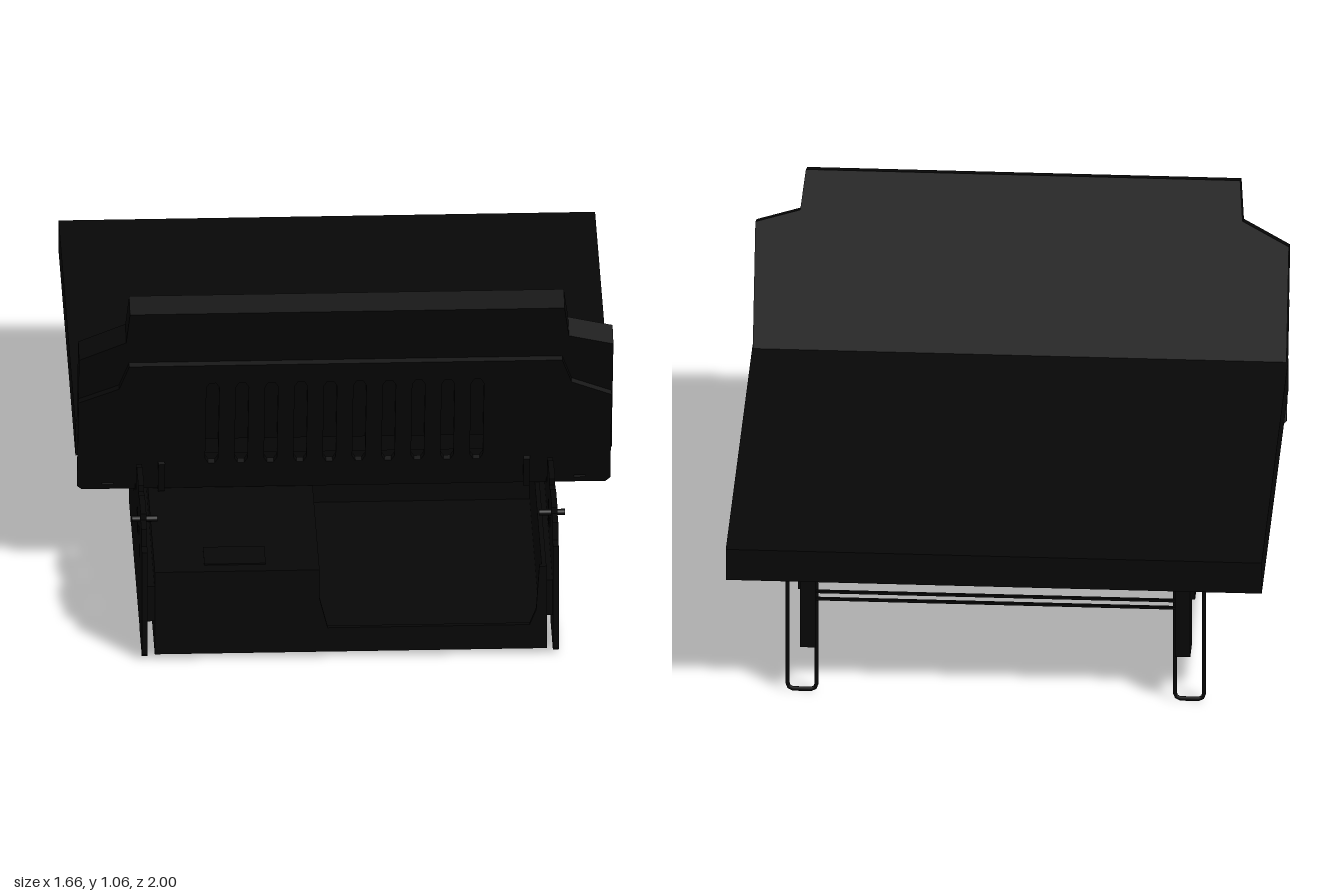
import * as THREE from 'three';

export function createModel() {
  const root = new THREE.Group();
  root.name = 'foldOutBed';
  const black = new THREE.MeshStandardMaterial({ color: 0x070707 });
  black.name = 'black';

  const add = (name, geometry, parent = root) => {
    const mesh = new THREE.Mesh(geometry, black);
    mesh.name = name;
    parent.add(mesh);
    return mesh;
  };
  // Box given by its limits on each axis
  const box = (name, x0, x1, y0, y1, z0, z1, parent = root) => {
    const mesh = add(name, new THREE.BoxGeometry(x1 - x0, y1 - y0, z1 - z0), parent);
    mesh.position.set((x0 + x1) / 2, (y0 + y1) / 2, (z0 + z1) / 2);
    return mesh;
  };
  const shapeOf = (points, holes = []) => {
    const shape = new THREE.Shape(points.map(p => new THREE.Vector2(...p)));
    for (const h of holes) shape.holes.push(new THREE.Path(h.map(p => new THREE.Vector2(...p))));
    return shape;
  };
  const extrude = (shape, depth) =>
    new THREE.ExtrudeGeometry(shape, { depth, bevelEnabled: false, curveSegments: 6 });
  const rect = (x0, x1, y0, y1) => [[x0, y0], [x1, y0], [x1, y1], [x0, y1]];

  // Platform: top board with a lip around its underside
  const platform = new THREE.Group();
  platform.name = 'platform';
  root.add(platform);
  box('platformTop', -0.83, 0.83, 0.45, 0.535, -1, 0.43, platform);
  for (const s of [-1, 1]) {
    box('platformSideLip', s * 0.805 - 0.025, s * 0.805 + 0.025, 0.43, 0.45, -1, 0.43, platform);
  }
  for (const z of [-1, 0.38]) box('platformEndLip', -0.78, 0.78, 0.43, 0.45, z, z + 0.05, platform);

  // Frame and curved slats below the platform
  for (const s of [-1, 1]) {
    box('frameRail', s * 0.61 - 0.015, s * 0.61 + 0.015, 0.37, 0.45, -0.82, 0.4, platform);
  }
  for (const z of [-0.82, -0.12, 0.36]) box('frameCrossRail', -0.6, 0.6, 0.375, 0.45, z, z + 0.03, platform);
  const slat = new THREE.Shape();
  slat.moveTo(-0.14, -0.02);
  slat.quadraticCurveTo(0, 0.03, 0.14, -0.02);
  slat.lineTo(0.14, 0.03);
  slat.quadraticCurveTo(0, 0.08, -0.14, 0.03);
  for (let i = 0; i < 9; i++) {
    for (const x of [-0.38, 0, 0.38]) {
      const mesh = add('platformSlat', extrude(slat, 0.012), platform);
      mesh.rotation.x = Math.PI / 2;
      mesh.position.set(x, 0.45, -0.7 + i * 0.115);
    }
  }

  // Leaning backrest with stepped wings
  const backrest = new THREE.Group();
  backrest.name = 'backrest';
  backrest.position.set(0, 0.53, 0.4);
  backrest.rotation.x = 0.361;
  root.add(backrest);
  add('backrestCushion', extrude(shapeOf([
    [-0.825, 0], [0.828, 0], [0.828, 0.4], [0.69, 0.44], [0.675, 0.566],
    [-0.67, 0.566], [-0.68, 0.44], [-0.825, 0.364]]), 0.08), backrest);

  // Slotted support sheet behind the cushion, reaching below its lower edge
  const slots = [rect(-0.748, -0.712, -0.18, -0.172), rect(0.712, 0.748, -0.18, -0.172)];
  for (let i = 0; i < 10; i++) {
    const x = -0.41 + i * 0.091;
    slots.push([[x - 0.02, -0.07], [x - 0.01, -0.09], [x + 0.01, -0.09], [x + 0.02, -0.07],
      [x + 0.02, 0.25], [x + 0.01, 0.27], [x - 0.01, 0.27], [x - 0.02, 0.25]]);
  }
  add('backrestSheet', extrude(shapeOf([
    [-0.81, -0.2], [0.81, -0.2], [0.825, -0.185], [0.825, 0.19], [0.7, 0.25], [0.67, 0.35],
    [-0.67, 0.35], [-0.7, 0.25], [-0.825, 0.19], [-0.825, -0.185]], slots), 0.018), backrest)
    .position.z = 0.08;
  for (const s of [-1, 1]) {
    box('hingeArm', s * 0.565 - 0.01, s * 0.565 + 0.01, -0.2, -0.08, 0.098, 0.112, backrest);
  }

  // Upright side sheets of the base; profile runs along z and y
  const tri = z => [[z - 0.045, 0.3], [z - 0.01, 0.335], [z + 0.01, 0.335], [z + 0.045, 0.3]];
  const slit = y => rect(-0.065, -0.035, y, y + 0.012);
  const windows = [0.78, 0.6, 0.3, 0.155].map(z => rect(z - 0.012, z + 0.012, 0.245, 0.29));
  const sheet = shapeOf([
    [-0.09, 0.01], [0.05, 0.01], [0.06, 0.018], [0.78, 0.018], [0.79, 0.01], [0.99, 0.01], [1, 0.02],
    [1, 0.37], [0.955, 0.37], [0.955, 0.43], [0.89, 0.43], [0.89, 0.45], [0.76, 0.45], [0.76, 0.43],
    [0.69, 0.43], [0.69, 0.45], [0.56, 0.45], [0.56, 0.43], [0.5, 0.43], [0.48, 0.33], [0.43, 0.33],
    [0.42, 0.43], [-0.04, 0.43], [-0.06, 0.37], [-0.1, 0.37], [-0.1, 0.02],
  ], [tri(0.72), tri(0.6), tri(0.17), slit(0.13), slit(0.165), ...windows]);
  for (const x of [-0.645, 0.627]) {
    const mesh = add('baseSideSheet', extrude(sheet, 0.018));
    mesh.rotation.y = -Math.PI / 2;
    mesh.position.x = x + 0.018;
  }

  // Base: floor, tall cabinet at one end, open tray at the other
  box('baseFloor', -0.605, 0.608, 0.018, 0.035, -0.1, 0.99);
  const wall = shapeOf([[-0.605, 0.018], [0.608, 0.018], [0.608, 0.3], [0.585, 0.3], [0.575, 0.15],
    [0.555, 0.1], [-0.07, 0.1], [-0.095, 0.2], [-0.095, 0.3], [-0.605, 0.3]]);
  for (const z of [-0.03, 0.98]) add('baseEndWall', extrude(wall, 0.015)).position.z = z;
  box('cabinetTop', -0.605, -0.095, 0.285, 0.3, -0.02, 0.985);
  box('cabinetLid', -0.45, -0.26, 0.3, 0.304, 0.83, 0.95);
  box('cabinetOuterWall', -0.605, -0.59, 0.03, 0.29, -0.02, 0.985);
  box('cabinetInnerWall', -0.11, -0.095, 0.03, 0.29, -0.02, 0.985);
  box('trayOuterWall', 0.592, 0.607, 0.03, 0.3, -0.02, 0.985);
  for (const s of [-1, 1]) box('slideRail', s * 0.616 - 0.012, s * 0.616 + 0.012, 0.12, 0.24, 0, 0.97);

  // Support legs, their brackets, and pivot pins on the base
  for (const s of [-1, 1]) {
    const path = new THREE.CurvePath();
    const pts = [[0.555, 0.4], [0.555, 0.018], [0.566, 0.007], [0.634, 0.007], [0.645, 0.018], [0.645, 0.4]]
      .map(([x, y]) => new THREE.Vector3(s * x, y, -0.89));
    for (let i = 1; i < pts.length; i++) path.add(new THREE.LineCurve3(pts[i - 1], pts[i]));
    add('wireLeg', new THREE.TubeGeometry(path, 60, 0.007, 6));
    box('legBracket', s * 0.58 - 0.024, s * 0.58 + 0.024, 0.165, 0.45, -0.92, -0.825);
    box('legMount', s * 0.585 - 0.03, s * 0.585 + 0.03, 0.33, 0.45, -0.85, -0.77);
    const pin = add('pivotPin', new THREE.CylinderGeometry(0.01, 0.01, 0.08, 10));
    pin.rotation.z = Math.PI / 2;
    pin.position.set(s * 0.63, 0.4, 0.82);
  }
  for (const y of [0.32, 0.345]) box('legCrossRod', -0.56, 0.56, y, y + 0.008, -0.905, -0.895);

  return root;
}
